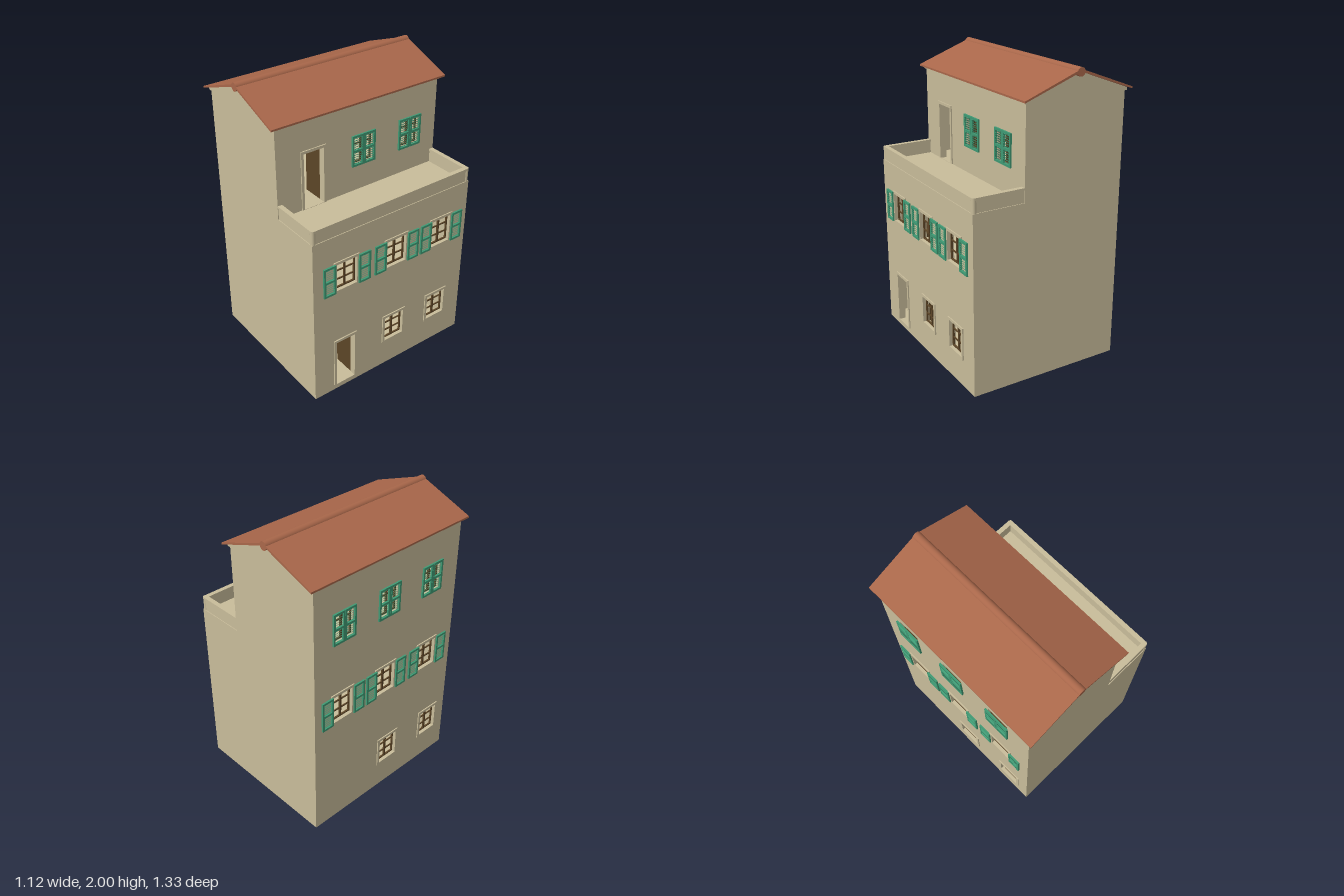
import * as THREE from 'three';
import { mergeGeometries } from 'three/addons/utils/BufferGeometryUtils.js';

const mat = (name, color) => new THREE.MeshStandardMaterial({ name, color });

// Box geometry given by its centre and size, optionally tilted about x
function box(cx, cy, cz, sx, sy, sz, tilt = 0) {
  return new THREE.BoxGeometry(sx, sy, sz).rotateX(tilt).translate(cx, cy, cz);
}

function polygon(points) {
  return new THREE.Shape(points.map(([x, y]) => new THREE.Vector2(x, y)));
}

function rect(x0, y0, x1, y1, Type = THREE.Shape) {
  const p = new Type();
  p.moveTo(x0, y0);
  p.lineTo(x1, y0);
  p.lineTo(x1, y1);
  p.lineTo(x0, y1);
  p.closePath();
  return p;
}

const extrude = (shape, depth, z = 0) =>
  new THREE.ExtrudeGeometry(shape, { depth, bevelEnabled: false }).translate(0, 0, z);

export function createModel() {
  const plaster = mat('plaster', 0xc8bc9a);
  const roofTile = mat('roofTile', 0xa9674a);
  const shutterGreen = mat('shutterGreen', 0x3f9a74);
  const darkWood = mat('darkWood', 0x5c4527);

  const house = new THREE.Group();
  house.name = 'townhouse';
  const add = (parent, name, geometry, material) => {
    const mesh = new THREE.Mesh(geometry, material);
    mesh.name = name;
    parent.add(mesh);
    return mesh;
  };

  const HZ = 0.627, T = 0.04;            // half depth, wall thickness
  const XL = -0.535, XR = 0.54, XU = 0.185; // back wall, lower and upper street walls
  const TERRACE = 1.22, EAVE = 1.82;

  // Plain end walls
  const endShape = polygon([[XL, 0], [XR, 0], [XR, TERRACE], [XU, TERRACE], [XU, EAVE], [XL, EAVE]]);
  add(house, 'frontEndWall', extrude(endShape, T, HZ - T), plaster);
  add(house, 'backEndWall', extrude(endShape, T, -HZ), plaster);

  // Floors, the middle ones reaching between the long walls
  const slab = (name, x0, x1, y0, y1) =>
    add(house, name, box((x0 + x1) / 2, (y0 + y1) / 2, 0, x1 - x0, y1 - y0, 2 * (HZ - T)), plaster);
  slab('groundFloor', XL + T, XR - T, 0, 0.04);
  slab('middleFloor', XL + T, XR - T, 0.58, 0.62);
  slab('terraceFloor', XL + T, XR - T, TERRACE - 0.04, TERRACE);

  // One louvred shutter leaf, centred on its own origin
  const LW = 0.091, LH = 0.215, LD = 0.012, B = 0.014;
  const leafParts = [];
  for (const s of [-1, 1]) {
    leafParts.push(box(s * (LW - B) / 2, 0, 0, B, LH, LD));
    leafParts.push(box(0, s * (LH - B) / 2, 0, LW - 2 * B, B, LD));
    for (let i = 0; i < 6; i++) {
      const y = s * (B / 2 + (i + 0.5) * (LH / 2 - B * 1.5) / 6);
      leafParts.push(box(0, y, 0, LW - 2 * B, 0.0155, 0.002, 0.85));
    }
  }
  leafParts.push(box(0, 0, 0, LW - 2 * B, B, LD));
  const leafGeometry = mergeGeometries(leafParts);

  // Casement with two columns and three rows of panes
  function casement(w, h) {
    const parts = [box(0, 0, 0, 0.013, h, 0.012)];
    for (const s of [-1, 1]) {
      parts.push(box(s * (w / 2 - 0.004), 0, 0, 0.008, h, 0.012));
      parts.push(box(0, s * (h / 2 - 0.004), 0, w, 0.008, 0.012));
      parts.push(box(0, s * h / 6, 0, w, 0.008, 0.008));
    }
    return mergeGeometries(parts);
  }

  // A long wall with its openings; side +1 faces +x, -1 faces -x
  function longWall(name, side, x, y0, y1, openings) {
    const wall = new THREE.Group();
    wall.name = name;
    wall.rotation.y = side * Math.PI / 2;
    wall.position.x = x;
    house.add(wall);
    const shape = rect(-(HZ - T), y0, HZ - T, y1);
    for (const { z, w, lo, hi, kind, shutters } of openings) {
      const u = -side * z, cy = (lo + hi) / 2, h = hi - lo, m = 0.018;
      shape.holes.push(rect(u - w / 2, lo, u + w / 2, hi, THREE.Path));

      // Raised surround
      const isDoor = kind === 'door';
      const surround = rect(u - w / 2 - m, isDoor ? lo : lo - m, u + w / 2 + m, hi + m);
      surround.holes.push(rect(u - w / 2, isDoor ? lo + 0.002 : lo, u + w / 2, hi, THREE.Path));
      if (shutters !== 'closed') add(wall, kind + 'Surround', extrude(surround, 0.008), plaster);

      if (isDoor) {
        // Door leaf standing open into the room
        add(wall, 'doorLeaf', box(u + w / 2 + 0.006, cy, -T - w / 2, 0.012, h, w), darkWood);
      } else {
        add(wall, 'windowCasement', casement(w, h), darkWood).position.set(u, cy, -0.022);
      }
      if (shutters) {
        const offset = shutters === 'open' ? 0.134 : 0.046;
        for (const s of [-1, 1])
          add(wall, 'shutter', leafGeometry, shutterGreen).position.set(u + s * offset, cy, 0.012);
      }
    }
    add(wall, 'wallPanel', extrude(shape, T, -T), plaster);
  }

  const W = 0.157;
  const middle = [0.378, -0.018, -0.397].map(z => ({ z, w: W, lo: 0.82, hi: 1.015, kind: 'window', shutters: 'open' }));
  const upper = [0.37, -0.018, -0.397].map(z => ({ z, w: W, lo: 1.41, hi: 1.608, kind: 'window', shutters: 'closed' }));
  const ground = z => ({ z, w: W, lo: 0.21, hi: 0.4, kind: 'window' });
  const door = (z, lo, hi) => ({ z, w: 0.148, lo, hi, kind: 'door' });

  longWall('lowerStreetWall', 1, XR, 0, TERRACE, [door(0.385, 0.042, 0.4), ground(-0.02), ground(-0.397), ...middle]);
  longWall('upperStreetWall', 1, XU, TERRACE, EAVE, [door(0.36, TERRACE + 0.002, 1.608), ...upper.slice(1)]);
  longWall('gardenWall', -1, XL, 0, EAVE, [ground(0.45), ground(0.035), ...middle, ...upper]);

  // Terrace parapet with coping and round corner posts
  const pLen = XR - XU, R = 0.016, top = 1.315;
  for (const s of [-1, 1]) {
    const z = s * (HZ - R);
    add(house, 'sideParapet', box(XU + pLen / 2 - R / 2, 1.26, z, pLen - R, 0.08, 0.022), plaster);
    add(house, 'sideCoping', box(XU + pLen / 2 - R / 2, 1.3075, z, pLen - R, 0.015, 0.032), plaster);
    add(house, 'cornerPost', new THREE.CylinderGeometry(R, R, top - TERRACE, 20)
      .translate(XR - R, (top + TERRACE) / 2, z), plaster);
  }
  add(house, 'streetParapet', box(XR - R, 1.26, 0, 0.022, 0.08, 2 * (HZ - R)), plaster);
  add(house, 'streetCoping', box(XR - R, 1.3075, 0, 0.032, 0.015, 2 * (HZ - R)), plaster);

  // Gable block with a slight cornice
  const RX = -0.173;
  add(house, 'gable', extrude(polygon([[-0.545, EAVE], [0.197, EAVE], [0.197, 1.837], [RX, 1.974], [-0.545, 1.837]]),
    2 * 0.635, -0.635), plaster);

  // Pitched roof and rounded ridge cap
  const RZ = 0.665;
  add(house, 'roof', extrude(polygon([[-0.562, 1.833], [RX, 1.974], [0.216, 1.833], [0.216, 1.845], [RX, 1.99], [-0.562, 1.845]]),
    2 * RZ, -RZ), roofTile);
  add(house, 'ridgeCap', new THREE.CylinderGeometry(0.028, 0.028, 2 * RZ, 20)
    .rotateX(Math.PI / 2).translate(RX, 1.972, 0), roofTile);

  // Inside stairs: one flight along the garden wall, one along the front end wall
  const steps = [];
  for (let i = 0; i < 14; i++) {
    const t = (i + 0.5) / 14;
    steps.push(box(-0.32, 0.04 + t * 0.52, -0.06 - t * 0.5, 0.16, 0.03, 0.05));
    steps.push(box(0.3 - t * 0.6, 0.63 + t * 0.52, 0.525, 0.055, 0.03, 0.12));
  }
  add(house, 'stairs', mergeGeometries(steps), darkWood);

  return house;
}
